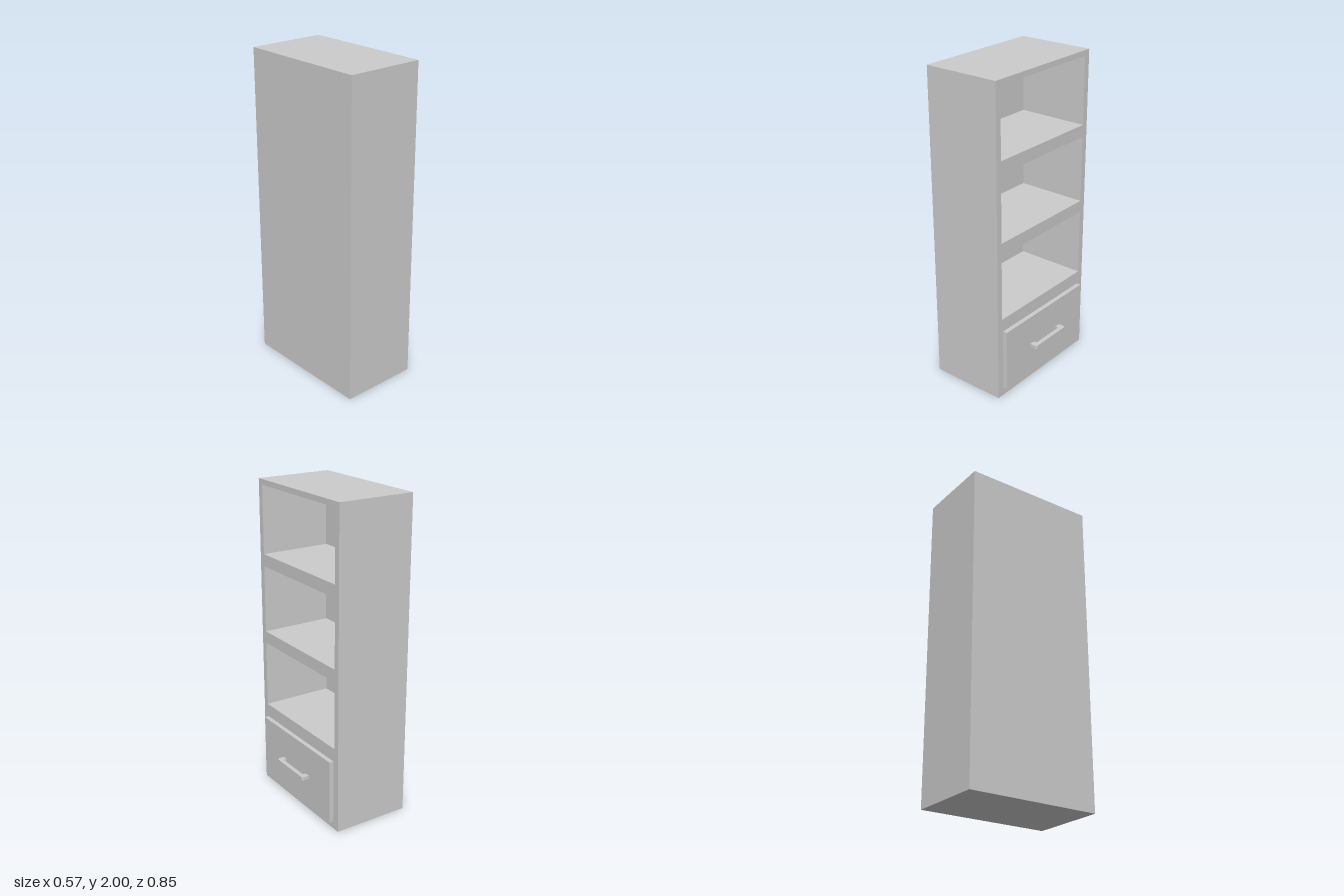
import * as THREE from 'three';

const material = new THREE.MeshStandardMaterial({ color: 0xcccccc });

const BACK = -0.285, FRONT = 0.209, HALF_WIDTH = 0.424, HEIGHT = 2;
const BACK_THICKNESS = 0.037;
const DRAWER_FRONT = 0.237;

function add(parent, name, geometry) {
  const mesh = new THREE.Mesh(geometry, material);
  mesh.name = name;
  parent.add(mesh);
  return mesh;
}

// Box given by its limits on each axis
function box(x0, x1, y0, y1, z0, z1) {
  return new THREE.BoxGeometry(x1 - x0, y1 - y0, z1 - z0)
    .translate((x0 + x1) / 2, (y0 + y1) / 2, (z0 + z1) / 2);
}

function rectangle(path, halfWidth, y0, y1) {
  path.moveTo(-halfWidth, y0);
  path.lineTo(halfWidth, y0);
  path.lineTo(halfWidth, y1);
  path.lineTo(-halfWidth, y1);
  path.closePath();
  return path;
}

// Cabinet body with three open compartments facing +x
function carcassGeometry() {
  const shape = rectangle(new THREE.Shape(), HALF_WIDTH, 0, HEIGHT);
  for (let i = 0; i < 3; i++) {
    const floor = 0.54 + i * 0.501;
    shape.holes.push(rectangle(new THREE.Path(), 0.385, floor, floor + 0.424));
  }
  const depth = FRONT - BACK - BACK_THICKNESS;
  return new THREE.ExtrudeGeometry(shape, { depth, bevelEnabled: false })
    .rotateY(Math.PI / 2)
    .translate(BACK + BACK_THICKNESS, 0, 0);
}

// Flat bracket handle with rounded corners, drawn in plan
function handleGeometry() {
  const x0 = DRAWER_FRONT, x1 = 0.285, xi = 0.258;
  const outer = 0.148, inner = 0.113, r = 0.014, ri = 0.011;
  const height = 0.022;
  const s = new THREE.Shape();
  s.moveTo(x0, -outer);
  s.lineTo(x1 - r, -outer);
  s.absarc(x1 - r, -outer + r, r, -Math.PI / 2, 0, false);
  s.absarc(x1 - r, outer - r, r, 0, Math.PI / 2, false);
  s.lineTo(x0, outer);
  s.lineTo(x0, inner);
  s.lineTo(xi - ri, inner);
  s.absarc(xi - ri, inner - ri, ri, Math.PI / 2, 0, true);
  s.absarc(xi - ri, -inner + ri, ri, 0, -Math.PI / 2, true);
  s.lineTo(x0, -inner);
  s.closePath();
  return new THREE.ExtrudeGeometry(s, { depth: height, bevelEnabled: false, curveSegments: 8 })
    .rotateX(-Math.PI / 2)
    .translate(0, 0.254 - height / 2, 0);
}

export function createModel() {
  const model = new THREE.Group();
  model.name = 'bookcase';

  add(model, 'carcass', carcassGeometry());
  add(model, 'backPanel',
    box(BACK, BACK + BACK_THICKNESS, 0, HEIGHT, -HALF_WIDTH, HALF_WIDTH));

  // Drawer below the shelves
  const drawer = new THREE.Group();
  drawer.name = 'drawer';
  add(drawer, 'drawerFront', box(FRONT, DRAWER_FRONT, 0.051, 0.455, -0.377, 0.377));
  add(drawer, 'drawerHandle', handleGeometry());
  model.add(drawer);

  return model;
}
